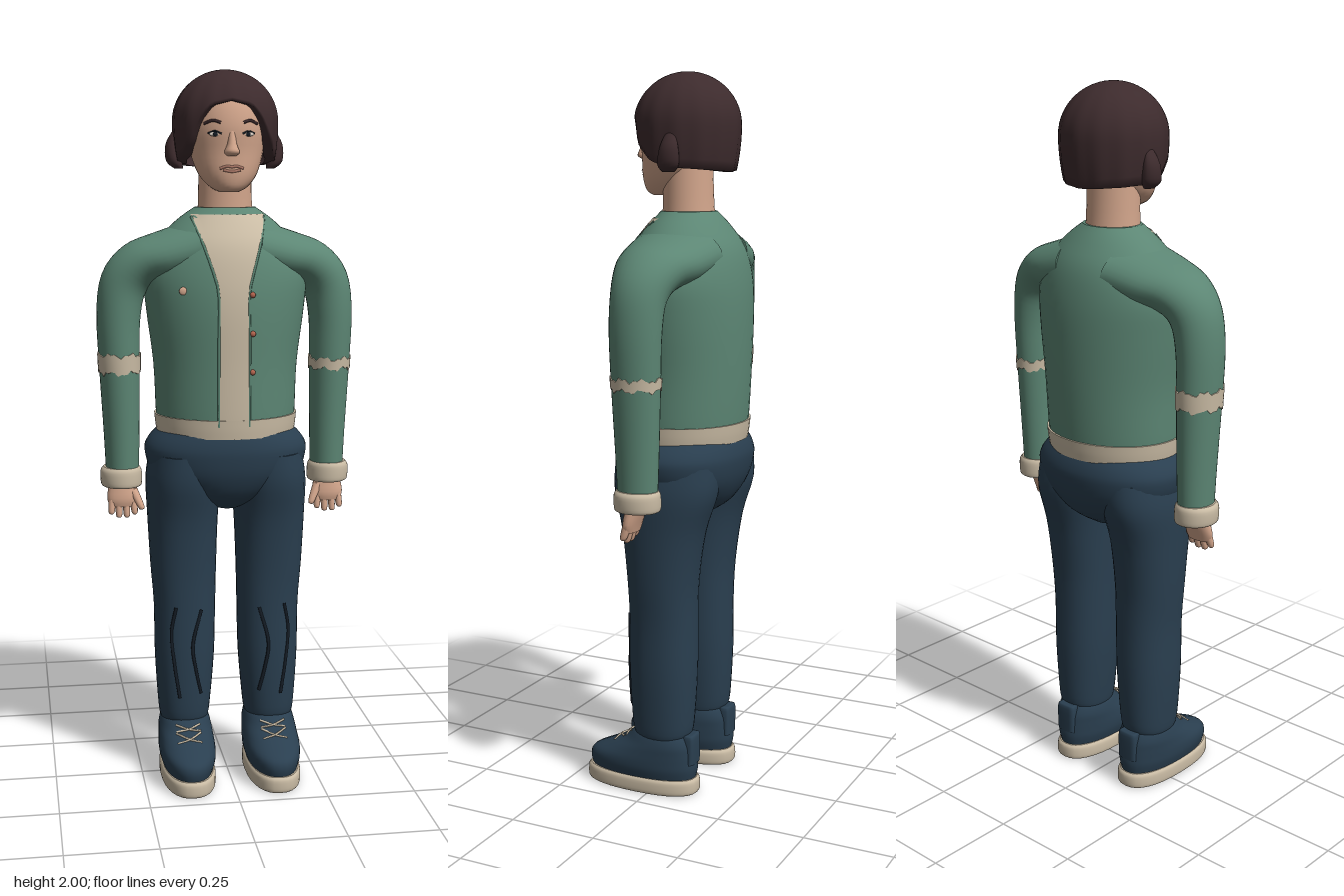
import * as THREE from 'three';

const mat = (name, color, side = THREE.FrontSide) => {
  const m = new THREE.MeshStandardMaterial({ color, side });
  m.name = name;
  return m;
};

// Catmull-Rom interpolation of whole section rows
function sample(rows, t) {
  const n = rows.length - 1;
  const i = Math.min(Math.floor(t), n - 1), f = t - i;
  const [a, b, c, d] = [rows[Math.max(i - 1, 0)], rows[i], rows[i + 1], rows[Math.min(i + 2, n)]];
  return b.map((v, k) => v + 0.5 * f * (c[k] - a[k] + f * (2 * a[k] - 5 * v + 4 * c[k] - d[k] + f * (3 * (v - c[k]) + d[k] - a[k]))));
}

// section at a given height
function atHeight(rows, y) {
  let lo = 0, hi = rows.length - 1;
  for (let i = 0; i < 30; i++) {
    const m = (lo + hi) / 2;
    if (sample(rows, m)[1] < y) lo = m; else hi = m;
  }
  return sample(rows, lo);
}

// z of the front surface of a loft at (x, y)
function frontZ(rows, x, y) {
  const [cx, , cz, rx, rz] = atHeight(rows, y);
  return cz + rz * Math.sqrt(Math.max(0, 1 - ((x - cx) / rx) ** 2));
}

// rows, bottom to top: [x, y, z, halfWidth, halfDepth, tilt]
function loft(rows, { n = 32, sub = 4, power = 2 } = {}) {
  const pos = [], idx = [], steps = (rows.length - 1) * sub;
  const bend = (v) => Math.sign(v) * Math.abs(v) ** (2 / power);
  const ring = ([x, y, z, rx, rz, tilt = 0]) => {
    for (let j = 0; j < n; j++) {
      const a = (j / n) * Math.PI * 2, u = rx * bend(Math.cos(a));
      pos.push(x + u * Math.cos(tilt), y + u * Math.sin(tilt), z + rz * bend(Math.sin(a)));
    }
  };
  for (let i = 0; i <= steps; i++) ring(sample(rows, i / sub));
  for (let i = 0; i < steps; i++) for (let j = 0; j < n; j++) {
    const a = i * n + j, b = i * n + (j + 1) % n;
    idx.push(a, a + n, b, b, a + n, b + n);
  }
  // end caps
  [rows[0], rows[rows.length - 1]].forEach((r, e) => {
    const s = pos.length / 3;
    ring(r);
    pos.push(r[0], r[1], r[2]);
    for (let j = 0; j < n; j++) {
      const p = s + j, q = s + (j + 1) % n;
      e ? idx.push(s + n, q, p) : idx.push(s + n, p, q);
    }
  });
  return surface(pos, idx);
}

function surface(pos, idx) {
  const g = new THREE.BufferGeometry();
  g.setAttribute('position', new THREE.Float32BufferAttribute(pos, 3));
  g.setIndex(idx);
  g.computeVertexNormals();
  return g;
}

function mirrored(geo) {
  const g = geo.clone(), p = g.attributes.position, nrm = g.attributes.normal, ix = g.index;
  for (let i = 0; i < p.count; i++) { p.setX(i, -p.getX(i)); nrm.setX(i, -nrm.getX(i)); }
  for (let i = 0; i < ix.count; i += 3) { const t = ix.getX(i); ix.setX(i, ix.getX(i + 1)); ix.setX(i + 1, t); }
  return g;
}

const tube = (pts, r) => new THREE.TubeGeometry(new THREE.CatmullRomCurve3(pts.map((p) => new THREE.Vector3(...p))), 16, r, 6);
const blob = (x, y, z, a, b, c) => new THREE.SphereGeometry(1, 16, 10).scale(a, b, c).translate(x, y, z);

export function createModel() {
  const root = new THREE.Group();
  root.name = 'standingPerson';
  const green = mat('jacketGreen', 0x5c8674), cream = mat('knitCream', 0xc9bba4, THREE.DoubleSide);
  const navy = mat('denimNavy', 0x2a3f50), dark = mat('seamDark', 0x151d26), skin = mat('skin', 0xd3a68c);
  const hairMat = mat('hairBrown', 0x3d2b2d, THREE.DoubleSide), lip = mat('lip', 0xb07c6b), red = mat('buttonRed', 0xb5654f);
  const white = mat('eyeWhite', 0xe6dcd0);
  const add = (name, geo, m) => {
    const mesh = new THREE.Mesh(geo, m);
    mesh.name = name;
    root.add(mesh);
  };
  const pair = (name, geo, m) => {
    add(name + 'Left', geo, m);
    add(name + 'Right', mirrored(geo), m);
  };

  // jacket body
  const torso = [
    [0, 1.0, -0.03, 0.19, 0.165], [0, 1.06, -0.032, 0.197, 0.171], [0, 1.2, -0.035, 0.203, 0.175],
    [0, 1.35, -0.035, 0.222, 0.176], [0, 1.45, -0.037, 0.228, 0.167], [0, 1.53, -0.039, 0.195, 0.146],
    [0, 1.59, -0.04, 0.14, 0.108], [0, 1.63, -0.04, 0.085, 0.075]];
  add('jacketBody', loft(torso, { n: 48 }), green);
  add('jacketHem', loft([1.005, 1.03, 1.058].map((y) => {
    const r = atHeight(torso, y);
    return [0, y, r[2], r[3] + 0.005, r[4] + 0.005];
  }), { n: 48 }), cream);

  // shirt showing in the open front
  const shirt = [], shirtIdx = [], cols = 10, lines = 40;
  for (let i = 0; i <= lines; i++) for (let j = 0; j <= cols; j++) {
    const y = 1.03 + 0.582 * i / lines, w = 0.041 + 0.06 * Math.max(0, (y - 1.42) / 0.19);
    const x = w * (2 * j / cols - 1);
    shirt.push(x, y, frontZ(torso, x, y) + 0.004);
    if (i < lines && j < cols) {
      const a = i * (cols + 1) + j, b = a + cols + 1;
      shirtIdx.push(a, a + 1, b, b, a + 1, b + 1);
    }
  }
  add('shirtFront', surface(shirt, shirtIdx), cream);
  for (const x of [-0.042, 0.042]) {
    add('jacketEdge', tube([1.04, 1.15, 1.28, 1.41, 1.48, 1.54, 1.605].map((y) => {
      const px = x + Math.sign(x) * 0.06 * Math.max(0, (y - 1.42) / 0.19);
      return [px, y, frontZ(torso, px, y) + 0.002];
    }), 0.004), green);
  }
  for (const y of [1.19, 1.295, 1.4]) add('button', blob(0.05, y, frontZ(torso, 0.05, y) + 0.005, 0.008, 0.008, 0.006), red);
  add('chestPin', blob(-0.135, 1.41, frontZ(torso, -0.135, 1.41) + 0.002, 0.011, 0.011, 0.004), skin);

  // sleeves running into the shoulders
  const sleeve = [
    [0.294, 0.88, -0.031, 0.046, 0.055, 0], [0.295, 1.0, -0.031, 0.05, 0.06, 0], [0.299, 1.2, -0.03, 0.057, 0.068, 0],
    [0.3, 1.33, -0.03, 0.061, 0.072, 0.1], [0.285, 1.42, -0.032, 0.066, 0.077, 0.45], [0.24, 1.472, -0.035, 0.068, 0.096, 0.9],
    [0.17, 1.493, -0.038, 0.073, 0.122, 1.2], [0.08, 1.515, -0.04, 0.08, 0.138, 1.4]];
  pair('sleeve', loft(sleeve), green);
  pair('cuff', loft([[0.296, 0.852, -0.032, 0.052, 0.058], [0.297, 0.86, -0.032, 0.058, 0.064], [0.298, 0.895, -0.032, 0.058, 0.064],
    [0.297, 0.908, -0.032, 0.05, 0.058]]), cream);

  // ragged bands around the elbows
  for (const [side, y0, y1] of [['Left', 1.18, 1.208], ['Right', 1.178, 1.228]]) {
    const g = loft([y0, y1].map((y) => { const r = atHeight(sleeve, y); r[3] += 0.003; r[4] += 0.003; return r; }), { n: 40, sub: 2 });
    const p = g.attributes.position;
    for (let i = 0; i < p.count; i++) {
      const a = Math.atan2(p.getZ(i) + 0.03, p.getX(i) - 0.299);
      p.setY(i, p.getY(i) + 0.005 * Math.sin(a * 7) + 0.004 * Math.sin(a * 17 + p.getY(i) * 90));
    }
    add('elbowBand' + side, side === 'Left' ? g : mirrored(g), cream);
  }

  // hands
  pair('palm', loft([[0.295, 0.795, -0.015, 0.036, 0.016], [0.295, 0.82, -0.017, 0.044, 0.022], [0.295, 0.87, -0.03, 0.036, 0.028]], { n: 20 }), skin);
  [[0.263, 0.772], [0.285, 0.764], [0.307, 0.764], [0.328, 0.774]].forEach(([x, y]) => {
    pair('finger', loft([[x, y, -0.004, 0.004, 0.004], [x, y + 0.008, -0.006, 0.009, 0.01], [0.295 + (x - 0.295) * 0.9, 0.815, -0.015, 0.011, 0.013]], { n: 10 }), skin);
  });
  pair('thumb', loft([[0.245, 0.787, 0.004, 0.004, 0.004], [0.246, 0.797, 0.003, 0.01, 0.01], [0.268, 0.845, -0.018, 0.014, 0.014]], { n: 10 }), skin);

  // trousers
  add('trouserSeat', loft([
    [0, 0.79, -0.03, 0.04, 0.07], [0, 0.83, -0.03, 0.13, 0.13], [0, 0.89, -0.032, 0.208, 0.164],
    [0, 0.95, -0.033, 0.23, 0.176], [0, 0.985, -0.032, 0.22, 0.173], [0, 1.015, -0.03, 0.192, 0.163]], { n: 48, power: 2.2 }), navy);
  const leg = [
    [0.124, 0.165, -0.022, 0.068, 0.078], [0.124, 0.2, -0.022, 0.074, 0.088], [0.122, 0.35, -0.022, 0.085, 0.096],
    [0.121, 0.5, -0.022, 0.088, 0.096], [0.124, 0.62, -0.022, 0.094, 0.1], [0.125, 0.76, -0.025, 0.1, 0.118],
    [0.122, 0.87, -0.03, 0.106, 0.148], [0.115, 0.95, -0.03, 0.1, 0.15]];
  pair('trouserLeg', loft(leg, { power: 2.2 }), navy);
  for (const line of [[[0.155, 0.515], [0.168, 0.44], [0.16, 0.34], [0.146, 0.245]], [[0.083, 0.505], [0.109, 0.4], [0.1, 0.33], [0.084, 0.255]]])
    pair('shinSeam', tube(line.map(([x, y]) => [x, y, frontZ(leg, x, y) + 0.002]), 0.005), dark);

  // shoes
  pair('sole', loft([[0.123, 0, 0.043, 0.07, 0.165], [0.123, 0.008, 0.043, 0.077, 0.172], [0.123, 0.036, 0.043, 0.077, 0.172],
    [0.123, 0.046, 0.043, 0.071, 0.165]], { power: 2.4 }), cream);
  const shoe = [
    [0.123, 0.04, 0.042, 0.069, 0.16], [0.123, 0.07, 0.042, 0.078, 0.166], [0.123, 0.095, 0.036, 0.08, 0.16],
    [0.123, 0.12, 0.012, 0.078, 0.134], [0.123, 0.145, -0.012, 0.075, 0.106], [0.123, 0.17, -0.02, 0.068, 0.086], [0.123, 0.185, -0.02, 0.055, 0.07]];
  pair('shoe', loft(shoe, { power: 2.2 }), navy);
  pair('heelTab', loft([[0.123, 0.09, -0.105, 0.032, 0.02], [0.123, 0.165, -0.108, 0.032, 0.018], [0.123, 0.176, -0.106, 0.025, 0.012]], { n: 20, power: 4 }), navy);
  const lace = (x, y) => [x, y, frontZ(shoe, x, y) + 0.004];
  for (const [y0, y1] of [[0.128, 0.145], [0.145, 0.128], [0.148, 0.163], [0.163, 0.148]])
    pair('lace', tube([lace(0.088, y0), lace(0.123, (y0 + y1) / 2), lace(0.158, y1)], 0.003), cream);

  // neck and head
  add('neck', loft([[0, 1.57, -0.04, 0.08, 0.075], [0, 1.64, -0.038, 0.075, 0.07], [0, 1.76, -0.035, 0.073, 0.068]]), skin);
  const head = [
    [0, 1.672, 0.04, 0.025, 0.028], [0, 1.685, 0.032, 0.05, 0.052], [0, 1.72, 0.012, 0.08, 0.08], [0, 1.78, -0.008, 0.1, 0.101],
    [0, 1.85, -0.015, 0.108, 0.113], [0, 1.92, -0.03, 0.1, 0.11], [0, 1.965, -0.035, 0.06, 0.07]];
  add('head', loft(head), skin);
  add('nose', loft([[0, 1.768, 0.09, 0.012, 0.01], [0, 1.778, 0.093, 0.021, 0.023], [0, 1.8, 0.092, 0.013, 0.017], [0, 1.84, 0.088, 0.008, 0.008]], { n: 16 }), skin);
  const face = (x, y) => frontZ(head, x, y);
  pair('eye', blob(0.045, 1.825, face(0.045, 1.825), 0.016, 0.006, 0.004), white);
  pair('iris', blob(0.045, 1.825, face(0.045, 1.825) + 0.003, 0.006, 0.006, 0.003), dark);
  const arc = (pts) => pts.map(([x, y]) => [x, y, face(x, y) + 0.001]);
  pair('eyelid', tube(arc([[0.028, 1.826], [0.045, 1.833], [0.063, 1.827]]), 0.0025), dark);
  pair('eyebrow', tube(arc([[0.03, 1.855], [0.05, 1.861], [0.072, 1.853]]), 0.004), hairMat);
  add('upperLip', tube(arc([[-0.032, 1.735], [-0.012, 1.741], [0, 1.739], [0.012, 1.741], [0.032, 1.735]]), 0.004), lip);
  add('lowerLip', tube(arc([[-0.024, 1.731], [0, 1.727], [0.024, 1.731]]), 0.004), lip);

  // bobbed hair, open over the face
  const edge = [[0, 1.912], [0.4, 1.9], [0.65, 1.862], [0.85, 1.81], [1.15, 1.768], [1.6, 1.748], [Math.PI, 1.735]];
  const edgeY = (a) => {
    const i = Math.max(1, edge.findIndex(([t]) => t >= a - 1e-6)), [p, q] = [edge[i - 1], edge[i]];
    return p[1] + (q[1] - p[1]) * (a - p[0]) / (q[0] - p[0]);
  };
  const pos = [], idx = [], n = 72, rings = 20;
  for (let i = 0; i <= rings + 1; i++) for (let j = 0; j < n; j++) {
    const a = (j / n) * Math.PI * 2, v = Math.min(i / rings, 1);
    const y = 2 - (2 - edgeY(Math.min(a, Math.PI * 2 - a))) * v ** 2, h = y - 1.86;
    let r = h > 0 ? Math.sqrt(Math.max(0, 1 - (h / 0.14) ** 2)) : 1 - 0.09 * (h / 0.12) ** 2;
    r *= (1 + 0.013 * Math.cos(a * 14) * v) * (i > rings ? 0.8 : 1);
    pos.push(0.145 * r * Math.sin(a), y, -0.035 + 0.145 * r * Math.cos(a));
    if (i <= rings) {
      const p = i * n + j, q = i * n + (j + 1) % n;
      idx.push(p, p + n, q, q, p + n, q + n);
    }
  }
  add('hair', surface(pos, idx), hairMat);
  pair('hairFlick', loft([[0.128, 1.735, -0.04, 0.012, 0.016], [0.14, 1.755, -0.045, 0.022, 0.03], [0.145, 1.8, -0.05, 0.018, 0.026],
    [0.135, 1.84, -0.05, 0.006, 0.012]], { n: 16 }), hairMat);
  return root;
}
